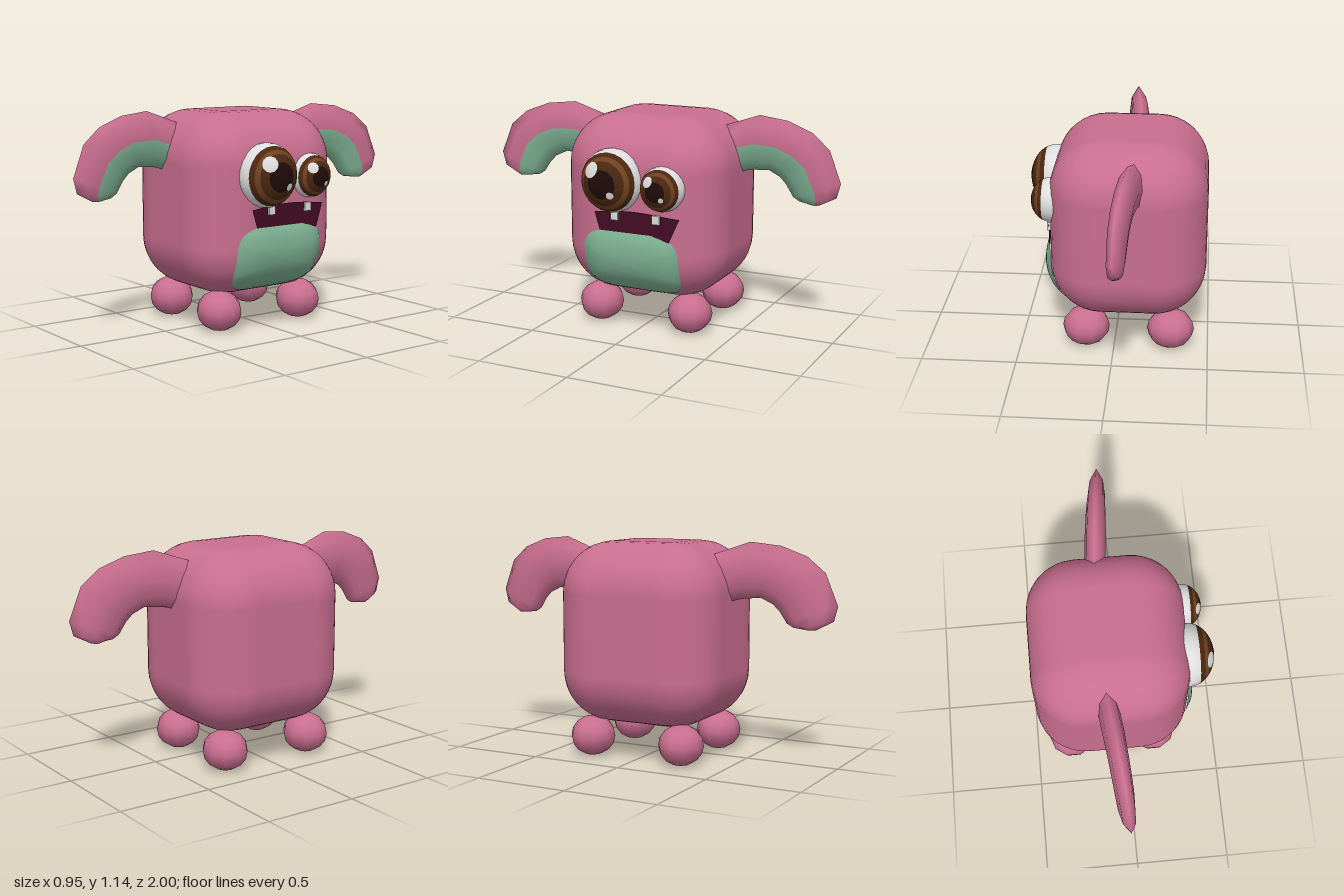
import * as THREE from 'three';
import { RoundedBoxGeometry } from 'three/addons/geometries/RoundedBoxGeometry.js';

const mat = (name, color, side = THREE.FrontSide) => {
  const m = new THREE.MeshStandardMaterial({ color, side });
  m.name = name;
  return m;
};

// Body dimensions, shared with the parts that hug its front face (+x)
const R = 0.27, CY = 0.6625, HY = 0.4775, HZ = 0.45, FRONT = 0.34;
const skin = (y, z) => {
  const q = Math.max(Math.abs(y - CY) - HY + R, 0);
  const w = Math.max(Math.abs(z) - HZ + R, 0);
  return FRONT - R + Math.sqrt(Math.max(R * R - q * q - w * w, 0));
};

// Surface through rows of points; matOf picks a material slot per column
function grid(rows, closed, flip = false, matOf = () => 0) {
  const n = rows[0].length, cols = closed ? n : n - 1;
  const slots = [[], []];
  for (let i = 0; i < rows.length - 1; i++) {
    for (let j = 0; j < cols; j++) {
      const k = (j + 1) % n;
      const a = i * n + j, b = i * n + k, c = a + n, d = b + n;
      slots[matOf(j)].push(...(flip ? [a, c, b, b, c, d] : [a, b, c, b, d, c]));
    }
  }
  const g = new THREE.BufferGeometry();
  g.setAttribute('position', new THREE.Float32BufferAttribute(rows.flat(2), 3));
  g.setIndex(slots.flat());
  g.addGroup(0, slots[0].length, 0);
  if (slots[1].length) g.addGroup(slots[0].length, slots[1].length, 1);
  g.computeVertexNormals();
  return g;
}

export function createModel() {
  const model = new THREE.Group();
  model.name = 'creature';
  const pink = mat('pink skin', 0xc96e8f);
  const green = mat('soft green', 0x7db092);
  const mouthMat = mat('dark mouth', 0x420c24, THREE.DoubleSide);
  const white = mat('white', 0xdedede);
  const darkBrown = mat('dark brown', 0x4a2710);
  const brown = mat('brown', 0x71421f);
  const black = mat('pupil', 0x1e0b0a);

  const add = (name, geo, material, parent = model) => {
    const m = new THREE.Mesh(geo, material);
    m.name = name;
    parent.add(m);
    return m;
  };

  // Body
  add('body', new RoundedBoxGeometry(0.82, 2 * HY, 2 * HZ, 5, R), pink).position.set(-0.07, CY, 0);

  // Feet
  for (const x of [-0.3, 0.15]) {
    for (const s of [1, -1]) {
      const foot = add('foot', new THREE.SphereGeometry(1, 10, 8), pink);
      foot.scale.set(0.125, 0.106, 0.118);
      foot.position.set(x, 0.11, s * 0.262);
    }
  }

  // Ears: lens-shaped sections between an outer and an inner edge, given as [z, y]
  const outer = [[0.32, 1.07], [0.545, 1.147], [0.705, 1.13], [0.84, 1.08], [0.935, 1.0],
    [1.0, 0.836], [0.98, 0.76], [0.89, 0.713], [0.865, 0.712]];
  const inner = [[0.36, 0.82], [0.5, 0.855], [0.6, 0.865], [0.665, 0.835], [0.7, 0.8],
    [0.74, 0.74], [0.775, 0.72], [0.84, 0.712], [0.865, 0.712]];
  const thick = [0.055, 0.055, 0.052, 0.05, 0.048, 0.043, 0.036, 0.022, 0];
  const lens = [[0, 0], [0.2, 0.75], [0.5, 1], [0.8, 0.75], [1, 0], [0.8, -0.75], [0.5, -1], [0.2, -0.75]];
  for (const s of [1, -1]) {
    const rows = outer.map((o, i) => lens.map(([t, h]) => {
      const z = o[0] + (inner[i][0] - o[0]) * t;
      const y = o[1] + (inner[i][1] - o[1]) * t;
      return [-0.14 + 0.1 * z + h * thick[i], y, s * z];
    }));
    const geo = grid(rows, true, s > 0, j => (j === 2 || j === 3 ? 1 : 0));
    add(s > 0 ? 'leftEar' : 'rightEar', geo, [pink, green]);
  }

  // Belly patch: a rounded square bulging from the front
  const se = v => Math.sign(v) * Math.abs(v) ** 0.55;
  const belly = [];
  for (let i = 0; i <= 10; i++) {
    const rho = i / 10, ring = [];
    for (let j = 0; j < 32; j++) {
      const a = (j / 32) * Math.PI * 2;
      const z = 0.272 * rho * se(Math.cos(a)), y = 0.388 + 0.18 * rho * se(Math.sin(a));
      ring.push([skin(y, z) + 0.004 + 0.034 * (1 - rho ** 4), y, z]);
    }
    belly.push(ring);
  }
  add('belly', grid(belly, true), green);

  // Mouth: a crooked band lying on the face
  const mouth = [];
  for (let i = 0; i <= 12; i++) {
    const u = i / 12;
    const top = 0.655 + 0.02 * Math.sin(Math.PI * u);
    const bottom = 0.53 + 0.03 * Math.min(1, u * 4);
    const col = [];
    for (let j = 0; j <= 4; j++) {
      const v = j / 4, y = bottom + (top - bottom) * v;
      const right = -0.228 - 0.052 * v, left = 0.165 + 0.03 * v;
      const z = right + (left - right) * u;
      col.push([skin(y, z) + 0.009, y, z]);
    }
    mouth.push(col);
  }
  add('mouth', grid(mouth, false), mouthMat);

  // Teeth
  for (const z of [0.075, -0.16]) {
    add('tooth', new THREE.BoxGeometry(0.025, 0.045, 0.04), white).position.set(0.348, 0.646, z);
  }

  // Eyes: coloured bands of one ball facing +x, with two highlights
  const bands = [['pupil', 0, 27, black], ['innerIris', 27, 44, darkBrown], ['iris', 44, 55, brown],
    ['outerIris', 55, 67, darkBrown], ['eyeWhite', 67, 150, white]];
  const rad = THREE.MathUtils.degToRad;
  const makeEye = (name, x, y, z, r, depth) => {
    const eye = new THREE.Group();
    eye.name = name;
    eye.position.set(x, y, z);
    eye.scale.set(depth, r, r);
    for (const [part, from, to, m] of bands) {
      const g = new THREE.SphereGeometry(1, 24, to > 90 ? 7 : 3, 0, Math.PI * 2, rad(from), rad(to - from));
      add(part, g.rotateZ(-Math.PI / 2), m, eye);
    }
    for (const [dy, dz, size] of [[0.42, 0.38, 0.26], [-0.31, -0.29, 0.12]]) {
      const g = new THREE.SphereGeometry(1.015, 12, 3, 0, Math.PI * 2, 0, size);
      const dir = new THREE.Vector3(Math.sqrt(1 - dy * dy - dz * dz), dy, dz);
      add('highlight', g, white, eye).quaternion.setFromUnitVectors(new THREE.Vector3(0, 1, 0), dir);
    }
    model.add(eye);
  };
  makeEye('leftEye', 0.333, 0.826, 0.095, 0.167, 0.14);
  makeEye('rightEye', 0.333, 0.806, -0.188, 0.117, 0.105);

  return model;
}
